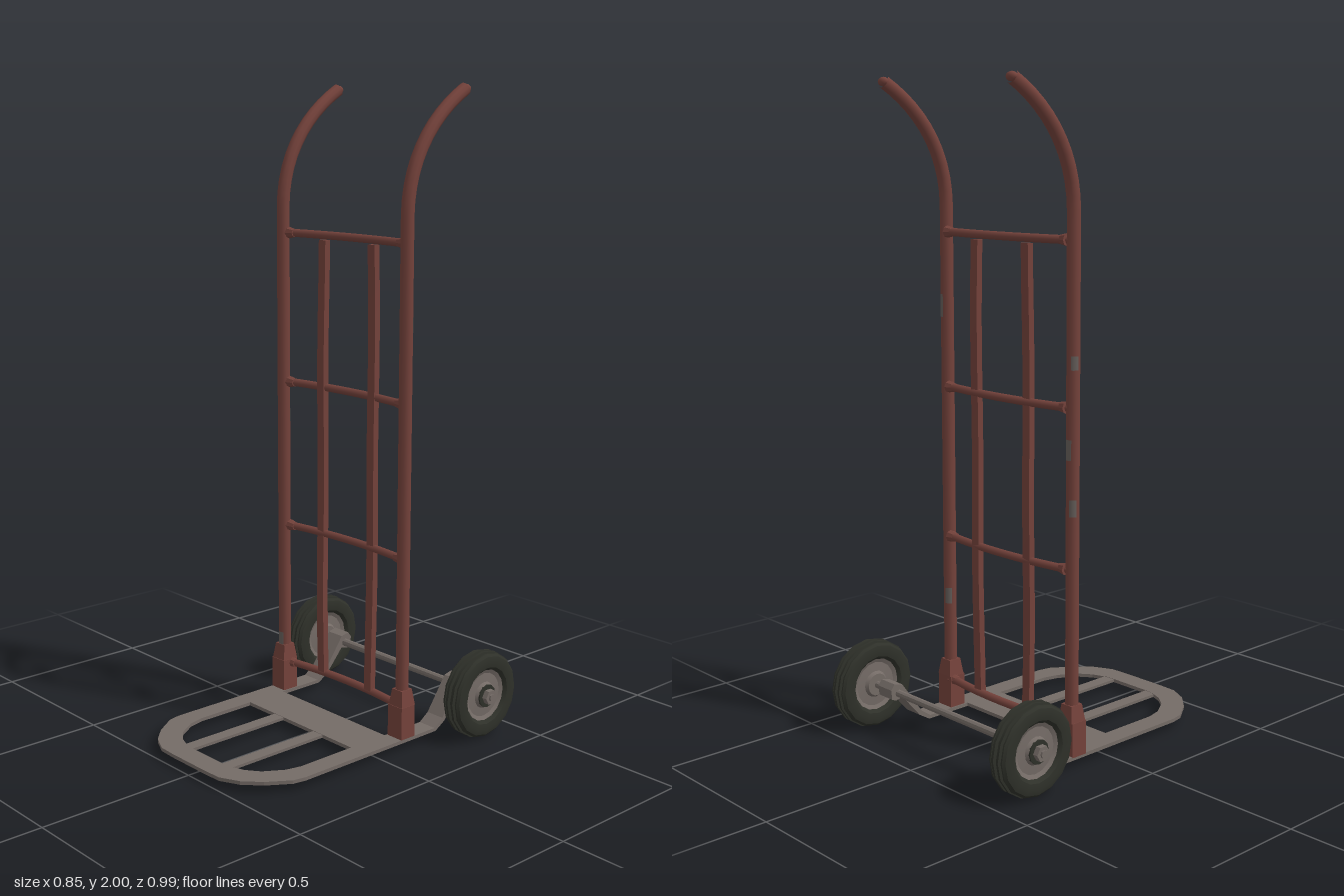
import * as THREE from 'three';
import { toCreasedNormals } from 'three/addons/utils/BufferGeometryUtils.js';

const mat = (name, color) => {
  const m = new THREE.MeshStandardMaterial({ color });
  m.name = name;
  return m;
};

export function createModel() {
  const red = mat('red paint', 0x74423b);
  const steel = mat('bare steel', 0x746b66);
  const rubber = mat('black rubber', 0x2e3029);
  const chipped = mat('chipped paint', 0x665f5b);
  chipped.side = THREE.DoubleSide;

  const model = new THREE.Group();
  model.name = 'handTruck';
  const add = (name, geometry, material, x = 0, y = 0, z = 0, parent = model) => {
    const mesh = new THREE.Mesh(geometry, material);
    mesh.name = name;
    mesh.position.set(x, y, z);
    parent.add(mesh);
    return mesh;
  };
  const V = (x, y, z) => new THREE.Vector3(x, y, z);
  const V2 = (x, y) => new THREE.Vector2(x, y);
  // Cylinder or lathe turned so that its axis lies along x
  const alongX = (g, crease = 0.6) => toCreasedNormals(g.rotateZ(-Math.PI / 2), crease);

  const CX = -0.01, RAIL = 0.275, RZ = -0.12;
  const AXLE_Y = 0.14, AXLE_Z = -0.36;

  // Side rails with swept-back handles, and their foot sockets
  for (const s of [-1, 1]) {
    const x = CX + s * RAIL;
    const path = new THREE.CurvePath();
    path.add(new THREE.LineCurve3(V(0, 0.04, 0), V(0, 1.62, 0)));
    path.add(new THREE.CubicBezierCurve3(V(0, 1.62, 0), V(0, 1.79, 0), V(0, 1.91, -0.1), V(0, 1.984, -0.232)));
    add('sideRail', new THREE.TubeGeometry(path, 50, 0.02, 10), red, x, 0, RZ);
    const cap = add('handleEnd', new THREE.SphereGeometry(0.02, 10, 6), red, x, 1.984, RZ - 0.232);
    cap.scale.set(1, 0.7, 0.7);
    add('footSocket', new THREE.BoxGeometry(0.06, 0.105, 0.056), red, x, 0.0855, RZ + 0.002);
    const collar = new THREE.CylinderGeometry(0.03, 0.04, 0.05, 4).rotateY(Math.PI / 4);
    add('socketCollar', toCreasedNormals(collar, 0.5), red, x, 0.163, RZ);
  }

  // Worn patches on the rails: side, height, angle, length
  for (const [s, y, a, h] of [[-1, 0.2, -0.5, 0.06], [1, 1.32, 2.2, 0.07], [-1, 0.95, 2.6, 0.06],
    [-1, 0.78, 3.4, 0.05], [-1, 1.2, 3.6, 0.04], [1, 0.4, 3.2, 0.05]]) {
    add('wornPatch', new THREE.CylinderGeometry(0.0208, 0.0208, h, 5, 1, true, a, 1.1), chipped, CX + s * RAIL, y, RZ);
  }

  // Cross rungs bowed backwards, flared where they meet the rails
  for (const y of [0.125, 0.595, 1.07, 1.545]) {
    const curve = new THREE.QuadraticBezierCurve3(V(-RAIL, 0, -0.125), V(0, 0, -0.172), V(RAIL, 0, -0.125));
    add('crossRung', new THREE.TubeGeometry(curve, 12, 0.0125, 8), red, CX, y, 0);
    for (const s of [-1, 1]) {
      const flare = new THREE.CylinderGeometry(s < 0 ? 0.013 : 0.019, s < 0 ? 0.019 : 0.013, 0.03, 8);
      add('rungFlare', alongX(flare), red, CX + s * (RAIL - 0.03), y, -0.129);
    }
  }

  // Upright slats, slightly bent from use
  for (const s of [-1, 1]) {
    const slat = new THREE.BoxGeometry(0.03, 1.4, 0.02, 1, 12, 1);
    const p = slat.attributes.position;
    for (let i = 0; i < p.count; i++) {
      const y = p.getY(i);
      p.setX(i, p.getX(i) + 0.004 * Math.sin(y * 5 + s));
      p.setZ(i, p.getZ(i) + 0.004 * Math.sin(y * 7 + s));
    }
    slat.computeVertexNormals();
    add('uprightSlat', slat, red, CX + s * 0.1125, 0.83, -0.143);
  }

  // Toe plate: rounded frame with a hole, crossed by two bars
  const corner = [[0.305, 0.3], [0.297, 0.34], [0.25, 0.41], [0.2, 0.458], [0.14, 0.487], [0.08, 0.49]];
  const inner = [[0.24, 0.26], [0.228, 0.31], [0.19, 0.37], [0.15, 0.4], [0.1, 0.419], [0.06, 0.42]];
  const outline = (pts, back) => {
    const w = pts[0][0];
    const right = [[w, back], ...pts].map(([x, z]) => V2(x, z));
    const left = [[w, back], ...pts].reverse().map(([x, z]) => V2(-x, z));
    return [...right, ...left];
  };
  const shape = new THREE.Shape(outline(corner, -0.08));
  shape.holes.push(new THREE.Path(outline(inner, 0.06)));
  const plate = new THREE.ExtrudeGeometry(shape, { depth: 0.011, bevelEnabled: false });
  add('toePlate', plate.rotateX(Math.PI / 2), steel, CX, 0.036, 0);
  for (const x of [-0.105, 0.08]) {
    add('toePlateBar', new THREE.BoxGeometry(0.042, 0.009, 0.37), steel, x, 0.0305, 0.24);
  }

  // Bent strap arms running back from the plate and up to the axle
  const strap = new THREE.Shape([
    [-0.08, 0.025], [-0.08, 0.036], [-0.235, 0.036], [-0.27, 0.06], [-0.345, 0.165], [-0.375, 0.172],
    [-0.388, 0.155], [-0.385, 0.125], [-0.37, 0.118], [-0.345, 0.125], [-0.278, 0.048], [-0.24, 0.025],
  ].map(([z, y]) => V2(-z, y)));
  for (const s of [-1, 1]) {
    const g = new THREE.ExtrudeGeometry(strap, { depth: 0.064, bevelEnabled: false });
    g.translate(0, 0, -0.032).rotateY(Math.PI / 2);
    add('axleArm', g, steel, CX + s * 0.273, 0, 0);
  }

  // Axle
  add('axle', alongX(new THREE.CylinderGeometry(0.011, 0.013, 0.82, 10)), steel, 0, AXLE_Y, AXLE_Z);

  // Wheels: ribbed tyre, dished hub, hexagonal nut
  const half = [[0.082, 0.024], [0.092, 0.034], [0.112, 0.037], [0.127, 0.033], [0.134, 0.026],
    [0.134, 0.021], [0.126, 0.019], [0.126, 0.016], [0.138, 0.014], [0.138, 0.006], [0.128, 0.004]];
  const tyre = [...half.map(([r, x]) => V2(r, -x)), ...half.slice().reverse().map(([r, x]) => V2(r, x))];
  const hub = [[0, -0.03], [0.035, -0.03], [0.042, -0.02], [0.07, -0.018], [0.088, -0.027],
    [0.088, 0.027], [0.07, 0.018], [0.042, 0.02], [0.035, 0.03], [0, 0.03]].map(([r, x]) => V2(r, x));
  for (const s of [-1, 1]) {
    const wheel = new THREE.Group();
    wheel.name = 'wheel';
    wheel.position.set(s * 0.366, AXLE_Y, AXLE_Z);
    model.add(wheel);
    add('tyre', alongX(new THREE.LatheGeometry(tyre, 16), 0.5), rubber, 0, 0, 0, wheel);
    add('wheelHub', alongX(new THREE.LatheGeometry(hub, 16), 0.5), steel, 0, 0, 0, wheel);
    add('washer', alongX(new THREE.CylinderGeometry(0.036, 0.036, 0.006, 12)), rubber, s * 0.031, 0, 0, wheel);
    add('axleNut', alongX(new THREE.CylinderGeometry(0.024, 0.024, 0.018, 6)), steel, s * 0.042, 0, 0, wheel);
    add('axleTip', alongX(new THREE.CylinderGeometry(0.012, 0.012, 0.012, 8)), steel, s * 0.051, 0, 0, wheel);
  }

  return model;
}
